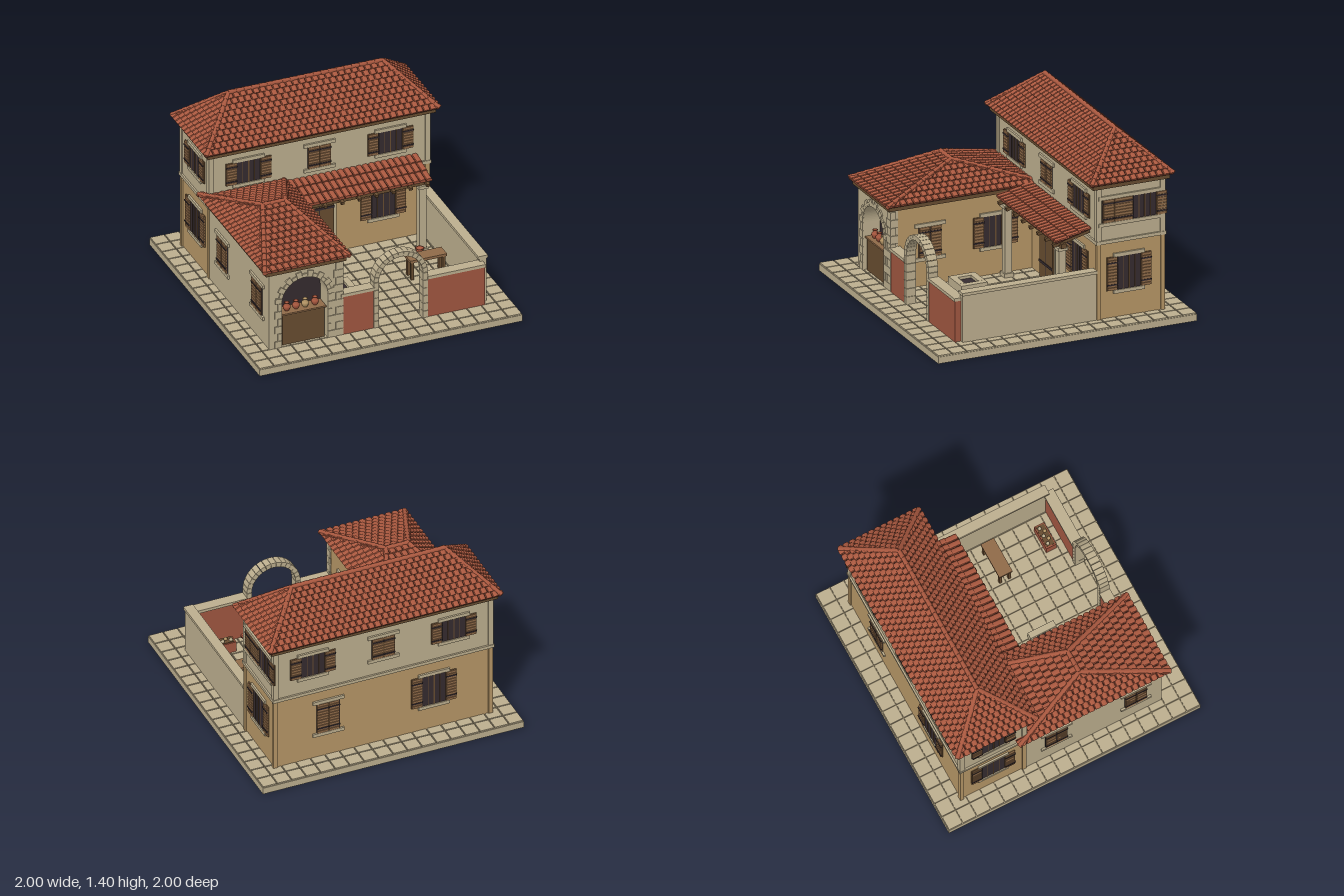
import * as THREE from 'three';
import { mergeGeometries } from 'three/addons/utils/BufferGeometryUtils.js';

const mat = (name, color, side = THREE.FrontSide) => {
  const m = new THREE.MeshStandardMaterial({ color, side });
  m.name = name;
  return m;
};
const stone = mat('pale stone', 0xbcae8e);
const mortar = mat('mortar', 0x7d725a);
const ochre = mat('ochre plaster', 0xb69666);
const terracotta = mat('terracotta', 0xa9583f, THREE.DoubleSide);
const roofShade = mat('roof shade', 0x552c22, THREE.DoubleSide);
const redPlaster = mat('red plaster', 0xa05640);
const timber = mat('dark timber', 0x674c30);
const shutterWood = mat('shutter wood', 0x8f6a48);
const dark = mat('dark glass and iron', 0x352b2f);

const V = (x, y, z) => new THREE.Vector3(x, y, z);

function add(parent, name, geo, m, x = 0, y = 0, z = 0) {
  const mesh = new THREE.Mesh(geo, m);
  mesh.name = name;
  mesh.position.set(x, y, z);
  parent.add(mesh);
  return mesh;
}
// Box given by its lower and upper limits
function box(parent, name, m, x0, x1, y0, y1, z0, z1) {
  return add(parent, name, new THREE.BoxGeometry(x1 - x0, y1 - y0, z1 - z0), m,
    (x0 + x1) / 2, (y0 + y1) / 2, (z0 + z1) / 2);
}

// One roof slope: eave a to b, ridge c to d; curved tiles trimmed along the hips
function slope(parent, a, b, c, d, rows, pitch, stagger) {
  const U = b.clone().sub(a).normalize();
  const N = U.clone().cross(d.clone().sub(a)).normalize();
  const W = N.clone().cross(U);
  const len = a.distanceTo(b);
  const ud = d.clone().sub(a).dot(U), uc = c.clone().sub(a).dot(U), top = d.clone().sub(a).dot(W);
  const at = (u, v, h) => {
    const lo = ud * v / top, hi = len + (uc - len) * v / top;
    return a.clone().addScaledVector(U, Math.min(Math.max(u, lo), hi)).addScaledVector(W, v).addScaledVector(N, h);
  };
  const pos = [];
  const quad = (p, q, r, s) => [p, q, r, p, r, s].forEach(k => pos.push(k.x, k.y, k.z));
  const rowH = top / rows, seg = 5, count = Math.ceil(len / pitch);
  for (let r = 0; r < rows; r++) {
    const v0 = r * rowH, v1 = Math.min(top, v0 + rowH * 1.15);
    for (let i = -1; i <= count; i++) {
      const mid = (i + 0.5 + (stagger && r % 2 ? 0.5 : 0)) * pitch;
      const lo = ud * v0 / top, hi = len + (uc - len) * v0 / top;
      if (mid + pitch / 2 < lo || mid - pitch / 2 > hi) continue;
      for (let k = 0; k < seg; k++) {
        const t0 = Math.PI * (1 - k / seg), t1 = Math.PI * (1 - (k + 1) / seg);
        const u0 = mid + Math.cos(t0) * pitch * 0.48, u1 = mid + Math.cos(t1) * pitch * 0.48;
        const h0 = Math.sin(t0) * 0.014, h1 = Math.sin(t1) * 0.014;
        const p = at(u0, v0, h0 + 0.014), q = at(u1, v0, h1 + 0.014);
        if (p.distanceTo(q) < 1e-3) continue;
        quad(p, q, at(u1, v1, h1 + 0.002), at(u0, v1, h0 + 0.002));
        quad(at(u0, v0, 0), at(u1, v0, 0), q, p);
      }
    }
  }
  const tiles = new THREE.BufferGeometry();
  tiles.setAttribute('position', new THREE.Float32BufferAttribute(pos, 3));
  tiles.computeVertexNormals();
  add(parent, 'roofTiles', tiles, terracotta);
  const under = new THREE.BufferGeometry().setFromPoints([a, b, c, a, c, d]);
  under.computeVertexNormals();
  add(parent, 'roofDeck', under, roofShade);
}

// Overlapping round caps along a ridge or hip
function caps(parent, p, q) {
  const len = p.distanceTo(q), n = Math.max(2, Math.round(len / 0.06));
  const dir = q.clone().sub(p).normalize();
  for (let i = 0; i < n; i++) {
    const m = add(parent, 'ridgeCap', new THREE.CylinderGeometry(0.015, 0.019, len / n * 1.1, 8), terracotta);
    m.position.copy(p).lerp(q, (i + 0.5) / n);
    m.quaternion.setFromUnitVectors(V(0, 1, 0), dir);
  }
}

function hipRoof(parent, name, x0, x1, z0, z1, yE, rx0, rx1, rz, yR, rows, pitch) {
  const g = new THREE.Group();
  g.name = name;
  parent.add(g);
  const fl = V(x0, yE, z1), fr = V(x1, yE, z1), br = V(x1, yE, z0), bl = V(x0, yE, z0);
  const L = V(rx0, yR, rz), R = V(rx1, yR, rz);
  slope(g, fl, fr, R, L, rows[0], pitch, true);
  slope(g, br, bl, L, R, rows[0], pitch, true);
  slope(g, fr, br, R, R, rows[1], pitch, true);
  slope(g, bl, fl, L, L, rows[1], pitch, true);
  const up = V(0, 0.012, 0);
  [[fl, L], [bl, L], [fr, R], [br, R], [L, R]].forEach(([p, q]) => caps(g, p.clone().add(up), q.clone().add(up)));
}

// Louvred shutter with two iron straps
function shutter(g, x, w, h) {
  box(g, 'shutterPanel', timber, x - w / 2, x + w / 2, -h / 2, h / 2, 0, 0.008);
  const n = Math.round(h / 0.022);
  for (let i = 0; i < n; i++) {
    const y = -h / 2 + (i + 0.5) * h / n;
    box(g, 'shutterSlat', shutterWood, x - w / 2 + 0.004, x + w / 2 - 0.004, y - h / n * 0.4, y + h / n * 0.4, 0.006, 0.015);
  }
  for (const s of [-1, 1]) box(g, 'shutterStrap', dark, x - w / 2, x + w / 2, s * h * 0.33 - 0.005, s * h * 0.33 + 0.005, 0.01, 0.019);
}

// Window facing local +z, with shutters open or closed
function windowUnit(parent, x, y, z, rot, h, open) {
  const g = new THREE.Group(), w = 0.175;
  g.name = open ? 'openWindow' : 'shutteredWindow';
  g.position.set(x, y, z);
  g.rotation.y = rot;
  parent.add(g);
  box(g, 'windowPane', dark, -w / 2, w / 2, -h / 2, h / 2, 0, 0.006);
  if (open) {
    for (const s of [-1, 1]) {
      shutter(g, s * (w / 2 + 0.044), 0.082, h);
      box(g, 'windowBar', timber, s * 0.045 - 0.002, s * 0.045 + 0.002, -h / 2, h / 2, 0.005, 0.009);
    }
    box(g, 'windowMullion', timber, -0.004, 0.004, -h / 2, h / 2, 0.005, 0.01);
  } else for (const s of [-1, 1]) shutter(g, s * w / 4, w / 2 - 0.003, h);
  for (const s of [-1, 1]) box(g, s > 0 ? 'lintel' : 'sill', stone, -0.12, 0.12, s * (h / 2 + 0.013) - 0.013, s * (h / 2 + 0.013) + 0.013, 0, 0.014);
}

// Ring of wedge stones over an arch
function archStones(parent, cx, cy, r0, r1, z0, z1, n, alternate = 0) {
  for (let i = 0; i < n; i++) {
    const a = Math.PI * (i + 0.03) / n, b = Math.PI * (i + 0.97) / n, r = r1 + (i % 2 ? 0 : alternate);
    const s = new THREE.Shape();
    s.absarc(0, 0, r, a, b, false);
    s.absarc(0, 0, r0, b, a, true);
    add(parent, 'archStone', new THREE.ExtrudeGeometry(s, { depth: z1 - z0, bevelEnabled: false, curveSegments: 3 }), stone, cx, cy, z0);
  }
}

function pot(parent, name, m, x, y, z, s) {
  const p = [[0, 0], [0.5, 0], [0.95, 0.8], [0.85, 1.3], [0.45, 1.7], [0.7, 2.1], [0.5, 2.1], [0.3, 1.7], [0, 1.6]];
  add(parent, name, new THREE.LatheGeometry(p.map(([r, h]) => new THREE.Vector2(r * s, h * s)), 12), m, x, y, z);
}

export function createModel() {
  const g = new THREE.Group();
  g.name = 'courtyardHouse';

  // Paved base
  box(g, 'baseSlab', stone, -1, 1, 0, 0.05, -1, 1);
  box(g, 'pavingMortar', mortar, -0.99, 0.99, 0.05, 0.053, -0.99, 0.99);
  const paving = [], n = 18, step = 2 / n;
  for (let i = 0; i < n; i++) for (let j = 0; j < n; j++)
    paving.push(new THREE.BoxGeometry(step - 0.009, 0.01, step - 0.009).translate(-1 + (i + 0.5) * step, 0.055, -1 + (j + 0.5) * step));
  add(g, 'pavingStones', mergeGeometries(paving), stone);

  // Main house: two storeys, band and corner strips
  box(g, 'groundStorey', ochre, -0.83, 0.83, 0.05, 0.63, -0.815, -0.315);
  box(g, 'upperStorey', stone, -0.835, 0.835, 0.63, 1.06, -0.82, -0.305);
  box(g, 'storeyBand', stone, -0.848, 0.848, 0.625, 0.65, -0.833, -0.292);
  for (const x of [-0.825, 0.825]) for (const z of [-0.81, -0.315]) {
    box(g, 'lowerCorner', ochre, x - 0.017, x + 0.017, 0.05, 0.625, z - 0.015, z + 0.015);
    box(g, 'upperCorner', stone, x - 0.019, x + 0.019, 0.65, 1.06, z - 0.019, z + 0.019);
  }
  box(g, 'mainFascia', timber, -0.868, 0.868, 1.05, 1.09, -0.852, -0.258);
  hipRoof(g, 'mainRoof', -0.885, 0.885, -0.87, -0.24, 1.085, -0.585, 0.585, -0.555, 1.368, [10, 10], 0.05);

  // Windows on every side of the main house
  const H = Math.PI / 2, uy = 0.87, ly = 0.39;
  [[-0.54, 1], [0, 0], [0.54, 1]].forEach(([x, o]) => {
    windowUnit(g, x, uy, -0.305, 0, 0.175, o);
    windowUnit(g, x, uy, -0.82, Math.PI, 0.175, o);
  });
  windowUnit(g, 0.49, ly, -0.315, 0, 0.25, 1);
  windowUnit(g, 0.42, ly, -0.815, Math.PI, 0.25, 0);
  windowUnit(g, -0.39, ly, -0.815, Math.PI, 0.25, 1);
  windowUnit(g, 0.835, uy, -0.43, H, 0.175, 0);
  windowUnit(g, 0.835, uy, -0.668, H, 0.175, 1);
  windowUnit(g, 0.83, ly, -0.55, H, 0.25, 1);
  windowUnit(g, -0.835, uy, -0.56, -H, 0.175, 1);
  windowUnit(g, -0.83, ly, -0.56, -H, 0.25, 1);

  // House door with iron bands
  box(g, 'doorFrame', stone, -0.135, 0.13, 0.05, 0.61, -0.32, -0.305);
  box(g, 'door', timber, -0.115, 0.11, 0.05, 0.585, -0.31, -0.295);
  for (const y of [0.18, 0.44]) box(g, 'doorBand', dark, -0.115, 0.11, y - 0.009, y + 0.009, -0.3, -0.29);
  box(g, 'doorSeam', dark, -0.005, 0.001, 0.06, 0.585, -0.3, -0.293);

  // Side wing with arched front
  box(g, 'wingBody', stone, -0.835, -0.29, 0.05, 0.67, -0.32, 0.64);
  box(g, 'wingCourtyardWall', ochre, -0.29, -0.28, 0.05, 0.67, -0.32, 0.72);
  box(g, 'shopInterior', dark, -0.76, -0.37, 0.055, 0.62, 0.638, 0.646);
  const cx = -0.565, spring = 0.415, r = 0.175;
  const front = new THREE.Shape([[-0.835, 0.05], [cx - r, 0.05], [cx - r, spring]].map(p => new THREE.Vector2(...p)));
  front.absarc(cx, spring, r, Math.PI, 0, true);
  [[cx + r, 0.05], [-0.285, 0.05], [-0.285, 0.67], [-0.835, 0.67]].forEach(p => front.lineTo(...p));
  add(g, 'wingFront', new THREE.ExtrudeGeometry(front, { depth: 0.135, bevelEnabled: false, curveSegments: 20 }), stone, 0, 0, 0.64);
  archStones(g, cx, spring, r, r + 0.028, 0.77, 0.785, 15, 0.022);
  for (let i = 0; i < 6; i++) {
    const y = 0.055 + i * 0.06, w = i % 2 ? 0.03 : 0.052;
    for (const s of [-1, 1]) {
      const a = cx + s * r, b = a + s * w;
      box(g, 'jambStone', stone, Math.min(a, b), Math.max(a, b), y, y + 0.057, 0.77, 0.783);
    }
  }
  for (let i = 0; i < 10; i++) {
    const y = 0.055 + i * 0.06, w = i % 2 ? 0.045 : 0.06;
    box(g, 'cornerStone', stone, -0.285 - w, -0.272, y, y + 0.057, 0.785 - w, 0.783);
  }
  box(g, 'wingFascia', timber, -0.868, -0.258, 0.665, 0.705, -0.31, 0.802);
  hipRoof(g, 'wingRoof', -0.885, -0.24, -0.38, 0.82, 0.7, -0.65, -0.48, 0.22, 0.885, [11, 7], 0.05);
  windowUnit(g, -0.28, ly, 0.475, H, 0.23, 0);
  windowUnit(g, -0.28, ly, -0.03, H, 0.23, 1);
  windowUnit(g, -0.835, ly, 0.57, -H, 0.23, 0);
  windowUnit(g, -0.835, ly, -0.06, -H, 0.23, 0);

  // Shop counter with jars
  box(g, 'counter', timber, -0.725, -0.405, 0.05, 0.3, 0.66, 0.755);
  box(g, 'counterTop', shutterWood, -0.735, -0.395, 0.3, 0.312, 0.655, 0.765);
  [-0.675, -0.605, -0.535, -0.46].forEach((x, i) => pot(g, 'counterJar', i === 2 ? ochre : terracotta, x, 0.312, 0.715, 0.03));

  // Porch: tiled lean-to roof, beam, rafters and pillars
  slope(g, V(-0.25, 0.645, -0.03), V(0.745, 0.645, -0.03), V(0.745, 0.715, -0.3), V(-0.25, 0.715, -0.3), 3, 0.0474, false);
  box(g, 'porchBeam', timber, -0.27, 0.745, 0.6, 0.635, -0.11, -0.07);
  for (let i = 0; i < 8; i++)
    box(g, 'porchRafter', timber, -0.012, 0.012, -0.012, 0.012, -0.145, 0.145).position.set(-0.2 + i * 0.13, 0.656, -0.157),
    g.children.at(-1).rotation.x = 0.253;
  for (const x of [-0.21, 0.69]) {
    box(g, 'porchPillar', stone, x - 0.027, x + 0.027, 0.05, 0.6, -0.117, -0.063);
    box(g, 'pillarCapital', stone, x - 0.037, x + 0.037, 0.575, 0.6, -0.127, -0.053);
    box(g, 'pillarBase', stone, x - 0.037, x + 0.037, 0.05, 0.09, -0.127, -0.053);
  }

  // Courtyard walls and arched gateway
  box(g, 'sideWall', stone, 0.785, 0.835, 0.05, 0.41, -0.32, 0.735);
  box(g, 'sideWallCap', stone, 0.772, 0.845, 0.41, 0.432, -0.3, 0.74);
  for (const [x0, x1] of [[-0.29, -0.035], [0.368, 0.805]]) {
    box(g, 'frontWall', redPlaster, x0, x1, 0.05, 0.365, 0.715, 0.78);
    box(g, 'frontWallCap', stone, x0, x1 + 0.004, 0.365, 0.388, 0.705, 0.788);
  }
  archStones(g, 0.165, 0.425, 0.168, 0.205, 0.71, 0.785, 15);
  for (const x of [-0.0215, 0.3515]) for (let i = 0; i < 6; i++)
    box(g, 'gateStone', stone, x - 0.0185, x + 0.0185, 0.053 + i * 0.062, 0.112 + i * 0.062, 0.71, 0.785);

  // Stone basin
  for (const s of [-1, 1]) {
    box(g, 'basinSide', stone, -0.09 + s * 0.085 - 0.024, -0.09 + s * 0.085 + 0.024, 0.05, 0.135, 0.165, 0.37);
    box(g, 'basinEnd', stone, -0.15, -0.03, 0.05, 0.135, 0.2675 + s * 0.077 - 0.025, 0.2675 + s * 0.077 + 0.025);
  }
  box(g, 'basinWater', dark, -0.155, -0.025, 0.05, 0.115, 0.21, 0.325);

  // Table, planter and large jar
  box(g, 'tableTop', shutterWood, 0.45, 0.73, 0.2, 0.22, 0.17, 0.275);
  for (const x of [0.47, 0.71]) for (const z of [0.187, 0.258])
    box(g, 'tableLeg', timber, x - 0.01, x + 0.01, 0.05, 0.2, z - 0.01, z + 0.01);
  box(g, 'planter', redPlaster, 0.51, 0.695, 0.05, 0.14, 0.575, 0.655);
  box(g, 'planterSoil', timber, 0.52, 0.685, 0.14, 0.145, 0.583, 0.647);
  for (let i = 0; i < 5; i++)
    add(g, 'produce', new THREE.SphereGeometry(0.014, 8, 6), i % 2 ? ochre : stone, 0.54 + i * 0.031, 0.15, 0.615 + (i % 2 ? 0.012 : -0.012));
  pot(g, 'courtyardJar', terracotta, 0.625, 0.058, 0.03, 0.048);
  return g;
}
